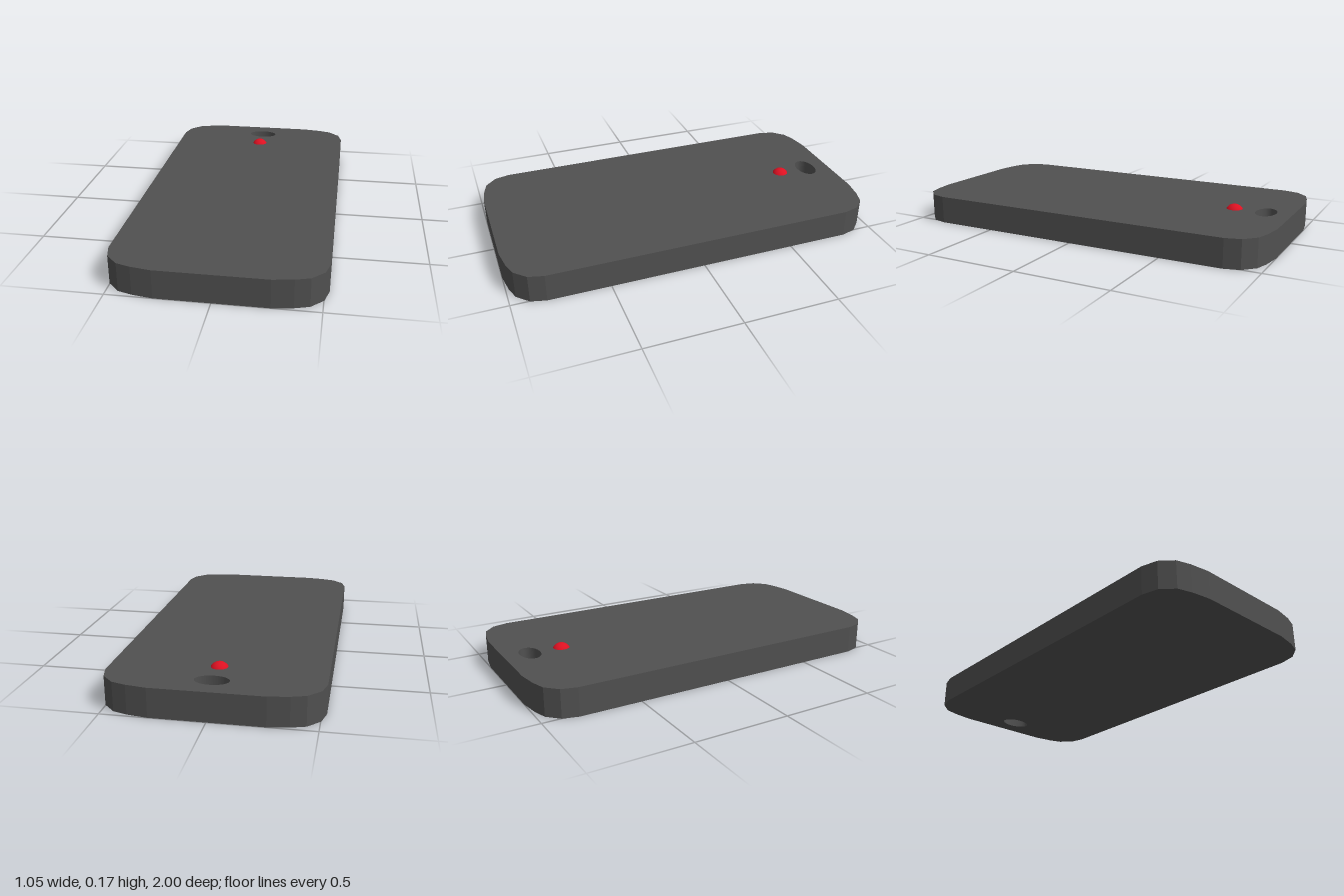
import * as THREE from 'three';

export function createModel() {
  const model = new THREE.Group();
  const height = 0.147;

  // Slab outline: one faceted corner, mirrored into all four quadrants
  const corner = [[0.523, 0.823], [0.502, 0.903], [0.443, 0.962], [0.372, 0.984], [0.27, 1]];
  const points = [];
  for (const [sx, sy] of [[1, 1], [-1, 1], [-1, -1], [1, -1]]) {
    const quadrant = corner.map(([x, y]) => new THREE.Vector2(x * sx, y * sy));
    if (sx * sy < 0) quadrant.reverse();
    points.push(...quadrant);
  }
  const outline = new THREE.Shape(points);

  // Oval lanyard hole near the back edge
  const hole = new THREE.Path();
  hole.absellipse(0, 0.866, 0.083, 0.053, 0, Math.PI * 2, true);
  outline.holes.push(hole);

  const bodyGeometry = new THREE.ExtrudeGeometry(outline, {
    depth: height, bevelEnabled: false, curveSegments: 32,
  });
  bodyGeometry.rotateX(-Math.PI / 2);
  const body = new THREE.Mesh(bodyGeometry, new THREE.MeshStandardMaterial({ color: 0x505050 }));
  body.name = 'body';
  model.add(body);

  // Red indicator dome, sunk into the top face
  const light = new THREE.Mesh(
    new THREE.SphereGeometry(0.0485, 32, 20),
    new THREE.MeshStandardMaterial({ color: 0xdd1122 }),
  );
  light.name = 'indicatorLight';
  light.position.set(0, 0.1235, -0.697);
  model.add(light);

  return model;
}
